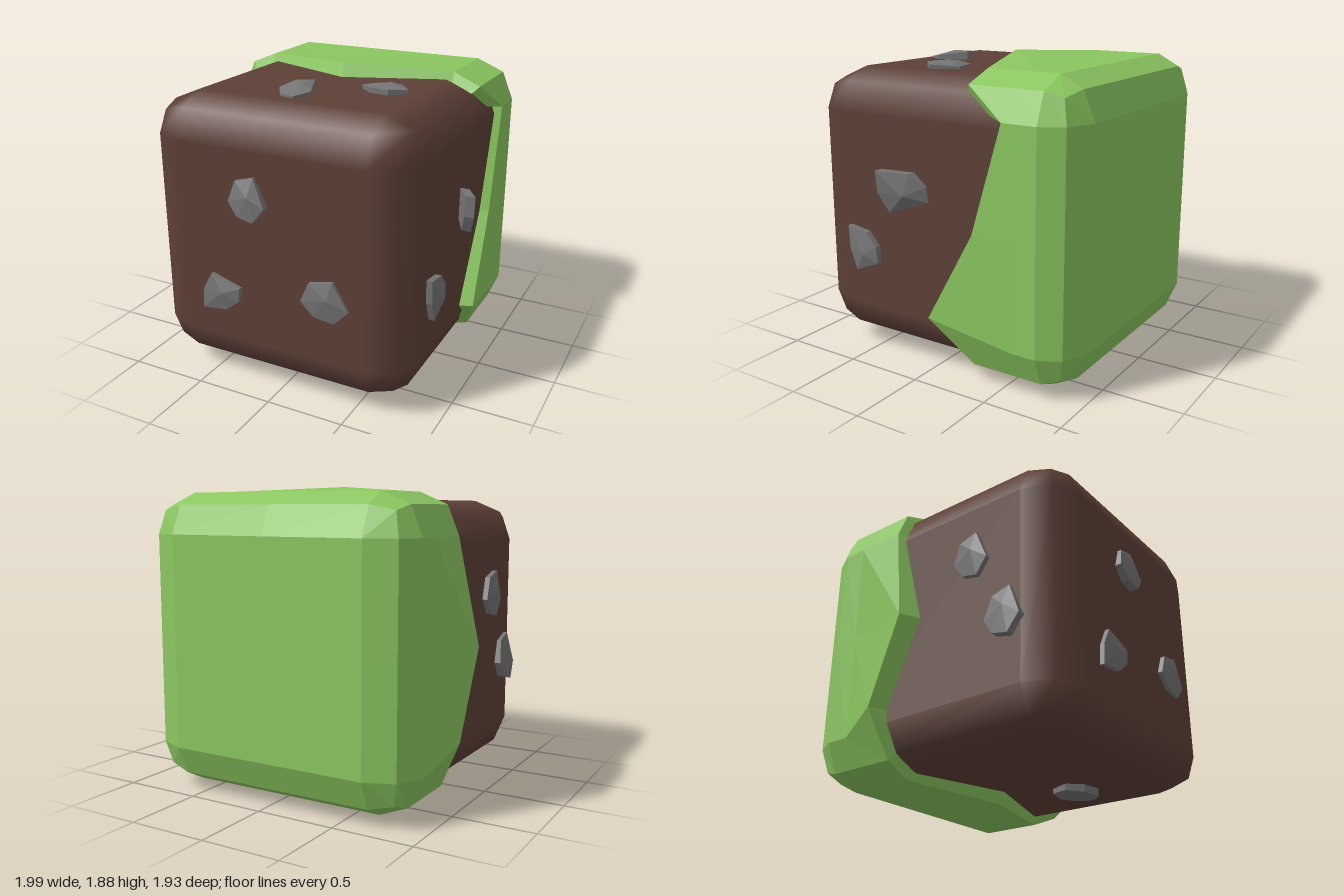
import * as THREE from 'three';
import { ConvexGeometry } from 'three/addons/geometries/ConvexGeometry.js';

const soilMat = new THREE.MeshStandardMaterial({ color: 0x5d4037 });
const mossMat = new THREE.MeshStandardMaterial({ color: 0x8bc760, flatShading: true, side: THREE.DoubleSide });
const stoneMat = new THREE.MeshStandardMaterial({ color: 0x757575, flatShading: true });
const BEVEL = 0.25;

// Cube with a two-step bevel and smooth normals
function bevelledBox(w, h, d) {
  const geo = new THREE.BoxGeometry(3, 3, 3, 3, 3, 3);
  const pos = geo.attributes.position, nor = geo.attributes.normal;
  const half = [w / 2 - BEVEL, h / 2 - BEVEL, d / 2 - BEVEL];
  for (let i = 0; i < pos.count; i++) {
    const p = [pos.getX(i), pos.getY(i), pos.getZ(i)];
    const n = new THREE.Vector3(...p.map(c => (Math.abs(c) > 1 ? Math.sign(c) : 0))).normalize();
    const core = p.map((c, k) => Math.sign(c) * half[k]);
    pos.setXYZ(i, core[0] + n.x * BEVEL, core[1] + n.y * BEVEL, core[2] + n.z * BEVEL);
    nor.setXYZ(i, n.x, n.y, n.z);
  }
  return geo;
}

// Ragged front edge of the moss, anticlockwise from the upper +x corner:
// z, outward flare, lift
const MOSS_EDGE = [
  [-0.28], [-0.29], [-0.06, 0.04], [-0.29],
  [-0.29], [-0.29], [-0.15, 0.08], [-0.37, 0.065, 0.12],
  [-0.32], [-0.33], [-0.15, 0.03], [-0.35],
  [-0.30], [-0.05, 0.04, 0.1], [-0.35, 0.015], [-0.54],
];

function mossGeometry() {
  const n = MOSS_EDGE.length, verts = [], index = [];
  const rings = [[], [], [], [], [], []];
  MOSS_EDGE.forEach(([z, flare = 0, lift = 0], i) => {
    // each quarter is a bevel corner followed by three points of a side
    const along = [1, 1, 0, -1][i % 4], corner = i % 4 === 0;
    const turn = Math.floor(i / 4) * Math.PI / 2;
    const core = new THREE.Vector2(along, 1).rotateAround(new THREE.Vector2(), turn);
    const dir = new THREE.Vector2(corner ? 1 : 0, 1).normalize().rotateAround(new THREE.Vector2(), turn);
    const point = (out, pz, up = 0) =>
      [-0.02 + core.x * 0.65 + dir.x * out, 0.935 + core.y * 0.655 + dir.y * out + up, pz];
    rings[0].push(point(0, -0.97));
    rings[1].push(corner ? point(BEVEL * 0.816, -0.864) : point(BEVEL * 0.707, -0.897));
    rings[2].push(point(BEVEL, -0.76));
    rings[3].push(point(BEVEL, -0.61));
    rings[4].push(point(BEVEL + flare, z, lift));
    // the rim dips into the soil
    rings[5].push(point(BEVEL + flare - 0.17, z + 0.08, lift));
  });
  rings.flat().forEach(p => verts.push(...p));
  for (let r = 0; r < rings.length - 1; r++) {
    for (let i = 0; i < n; i++) {
      const a = r * n + i, b = r * n + (i + 1) % n;
      index.push(a, b, b + n, a, b + n, a + n);
    }
  }
  // back face
  verts.push(-0.02, 0.935, -0.97);
  for (let i = 0; i < n; i++) index.push(rings.length * n, (i + 1) % n, i);
  const geo = new THREE.BufferGeometry();
  geo.setAttribute('position', new THREE.Float32BufferAttribute(verts, 3));
  geo.setIndex(index);
  geo.computeVertexNormals();
  return geo;
}

// Each face turns (u, v, height) into a position
const FACES = {
  front: (u, v, h) => new THREE.Vector3(u, v, 0.90 + h),
  left: (u, v, h) => new THREE.Vector3(0.84 + h, v, u),
  right: (u, v, h) => new THREE.Vector3(-0.88 - h, v, u),
  top: (u, v, h) => new THREE.Vector3(u, 1.79 + h, v),
  bottom: (u, v, h) => new THREE.Vector3(u, 0.075 - h, v),
};

// Two unit stone outlines, mirrored by negative sizes
const ROUND = [[-0.5, -0.1], [-0.33, 0.37], [0.17, 0.5], [0.5, -0.15], [0.2, -0.5], [-0.23, -0.42]];
const WEDGE = [[-0.5, -0.5], [-0.46, 0.04], [-0.24, 0.5], [0.5, 0.25], [0.46, -0.12], [0.13, -0.42]];

// Face, outline, centre u and v, size along u and v, height, tilt along u and v
const STONES = [
  ['front', ROUND, -0.14, 1.27, 0.24, 0.26, 0.05, 0, -0.15],
  ['front', WEDGE, -0.355, 0.62, 0.27, 0.24, 0.04, 0, 0],
  ['front', ROUND, 0.35, 0.73, 0.30, 0.26, 0.035, -0.05, 0],
  ['top', ROUND, 0.38, 0.17, 0.30, -0.24, 0.04, 0, 0.08],
  ['top', ROUND, -0.06, 0.46, 0.22, -0.28, 0.05, 0, -0.15],
  ['left', WEDGE, 0.125, 1.125, -0.27, -0.25, 0.09, 0.55, 0],
  ['left', WEDGE, 0.485, 0.695, -0.23, -0.28, 0.05, 0, 0],
  ['right', ROUND, 0.31, 1.205, 0.24, 0.29, 0.045, 0, 0],
  ['right', ROUND, 0.55, 0.765, 0.24, 0.31, 0.05, 0, -0.1],
  ['bottom', ROUND, 0.21, 0.265, 0.30, -0.27, 0.05, 0, 0.08],
];

function stoneGeometry([face, outline, u, v, su, sv, height, tu, tv]) {
  const place = FACES[face];
  const thick = tu > 0.5 ? 0.06 : 0.12;
  const pts = [place(u + su * 0.08, v + sv * 0.08, height + 0.012)];
  for (const [a, b] of outline) {
    const du = a * su, dv = b * sv;
    const h = height - 0.012 + tu * du + tv * dv;
    pts.push(place(u + du, v + dv, h), place(u + du, v + dv, h - thick));
  }
  return new ConvexGeometry(pts);
}

export function createModel() {
  const group = new THREE.Group();
  group.name = 'mossySoilBlock';
  const add = (name, geo, mat) => {
    const mesh = new THREE.Mesh(geo, mat);
    mesh.name = name;
    group.add(mesh);
    return mesh;
  };
  add('soilBlock', bevelledBox(1.72, 1.72, 1.75), soilMat).position.set(-0.02, 0.935, 0.025);
  add('mossCover', mossGeometry(), mossMat);
  STONES.forEach((s, i) => add(`stone${i + 1}`, stoneGeometry(s), stoneMat));
  return group;
}
